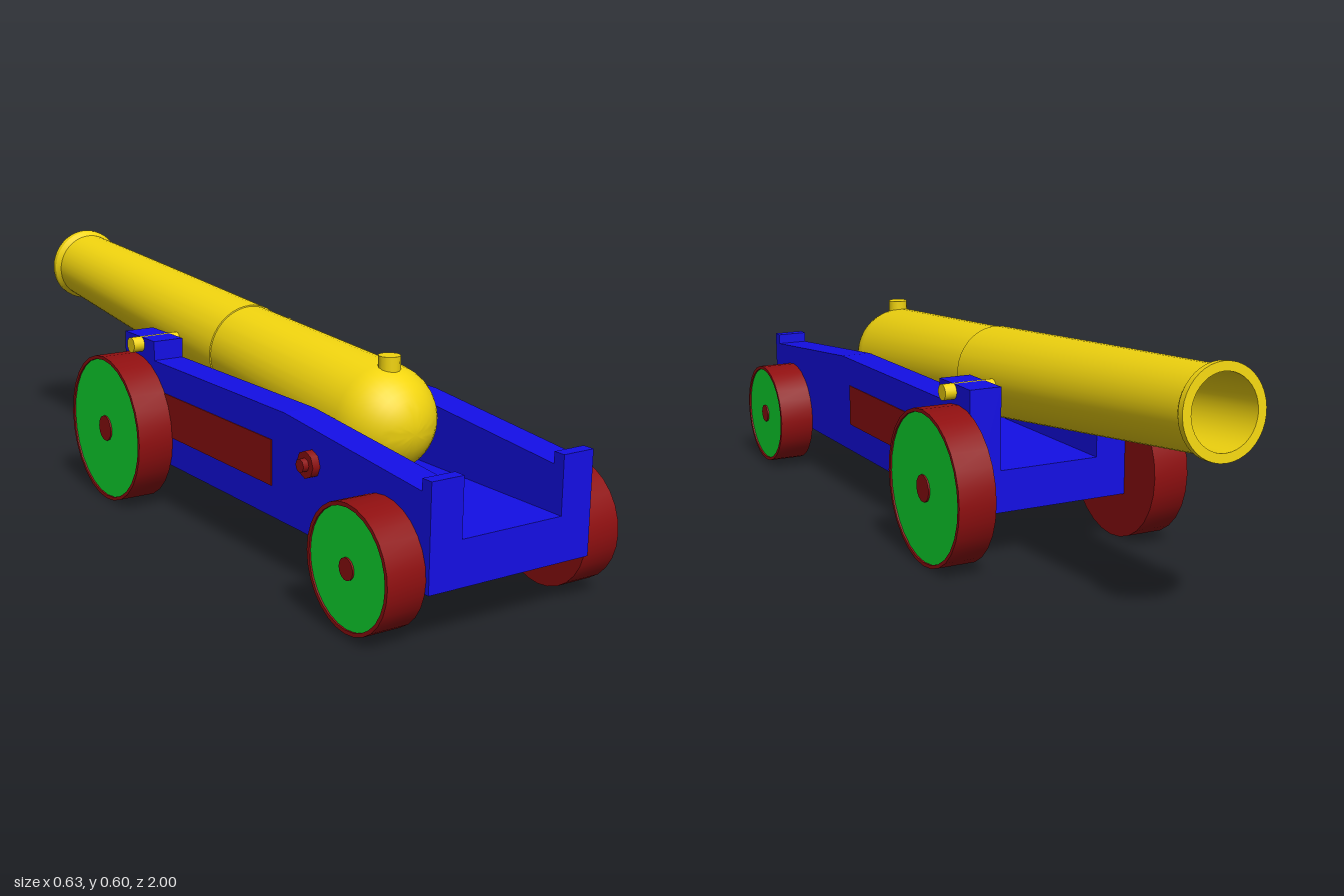
import * as THREE from 'three';
import { toCreasedNormals } from 'three/addons/utils/BufferGeometryUtils.js';

const material = (color) => new THREE.MeshStandardMaterial({ color });
const blue = material(0x140fe6);
const red = material(0x8f0f10);
const green = material(0x0fdc30);
const yellow = material(0xf2d50f);

function add(parent, name, geometry, mat, x = 0, y = 0, z = 0) {
  const mesh = new THREE.Mesh(geometry, mat);
  mesh.name = name;
  mesh.position.set(x, y, z);
  parent.add(mesh);
  return mesh;
}

function lathe(points, segments) {
  const profile = points.map(([r, t]) => new THREE.Vector2(r, t));
  return toCreasedNormals(new THREE.LatheGeometry(profile, segments), 0.5);
}

// Cylinder lying along x
function rod(r, length, segments = 16) {
  return new THREE.CylinderGeometry(r, r, length, segments).rotateZ(Math.PI / 2);
}

// Cheek outline in (z, y), swept across its thickness
function cheekGeometry(width) {
  const shape = new THREE.Shape([
    [1, 0.125], [1, 0.365], [0.97, 0.365], [0.97, 0.338], [0.47, 0.385],
    [-0.14, 0.385], [-0.14, 0.435], [-0.3, 0.435], [-0.3, 0.125],
  ].map(([z, y]) => new THREE.Vector2(-z, y)));
  const geometry = new THREE.ExtrudeGeometry(shape, { depth: width, bevelEnabled: false });
  return geometry.translate(0, 0, -width / 2).rotateY(Math.PI / 2);
}

function buildCarriage() {
  const carriage = new THREE.Group();
  carriage.name = 'carriage';
  add(carriage, 'floor', new THREE.BoxGeometry(0.28, 0.105, 1.3), blue, 0, 0.1775, 0.35);
  for (const side of [-1, 1]) {
    add(carriage, 'cheek', cheekGeometry(0.083), blue, side * 0.1755, 0, 0);
    add(carriage, 'sidePanel', new THREE.BoxGeometry(0.01, 0.11, 0.52), red, side * 0.214, 0.255, 0.16);
  }
  // Stepped knob on one cheek only
  add(carriage, 'sideKnobFlange', rod(0.032, 0.024, 8), red, -0.224, 0.295, 0.583);
  add(carriage, 'sideKnob', rod(0.016, 0.04, 8), red, -0.23, 0.295, 0.583);
  return carriage;
}

function buildWheel(r, side) {
  const w = 0.096;
  const wheel = new THREE.Group();
  wheel.name = 'wheel';
  // Red drum with a shallow recess on its outer face
  add(wheel, 'drum', lathe([
    [0, 0], [r, 0], [r, w], [r - 0.009, w], [r - 0.009, w - 0.008], [0, w - 0.008],
  ], 28), red);
  add(wheel, 'disc', new THREE.CylinderGeometry(r - 0.009, r - 0.009, 0.006, 28), green, 0, w - 0.007, 0);
  add(wheel, 'hub', new THREE.CylinderGeometry(r * 0.175, r * 0.175, 0.02, 14), red, 0, w - 0.01, 0);
  wheel.rotation.z = -side * Math.PI / 2;
  return wheel;
}

function buildGun() {
  const gun = new THREE.Group();
  gun.name = 'gun';
  // Rounded breech, tapering tube, muzzle lip, then back down the bore
  const profile = [];
  for (let i = 0; i <= 10; i++) {
    const a = (i / 10) * Math.PI / 2;
    profile.push([0.129 * Math.sin(a), -0.132 * Math.cos(a)]);
  }
  profile.push(
    [0.112, 0.575], [0.115, 0.576], [0.105, 1.05], [0.094, 1.505], [0.104, 1.52],
    [0.104, 1.536], [0.083, 1.536], [0.08, 1.0], [0, 1.0],
  );
  const barrel = add(gun, 'barrel', lathe(profile, 40), yellow, 0, 0.36, 0.54);
  barrel.rotation.x = 0.0913 - Math.PI / 2;

  add(gun, 'ventCap', new THREE.CylinderGeometry(0.026, 0.026, 0.06, 14), yellow, 0, 0.481, 0.57);
  add(gun, 'trunnion', rod(0.02, 0.494), yellow, 0, 0.416, -0.212);
  return gun;
}

export function createModel() {
  const model = new THREE.Group();
  model.name = 'cannon';
  model.add(buildCarriage(), buildGun());
  for (const side of [-1, 1]) {
    for (const [name, r, y, z] of [['largeWheel', 0.193, 0.195, -0.24], ['smallWheel', 0.142, 0.154, 0.85]]) {
      const wheel = buildWheel(r, side);
      wheel.name = name;
      wheel.position.set(side * 0.218, y, z);
      model.add(wheel);
    }
  }
  return model;
}
